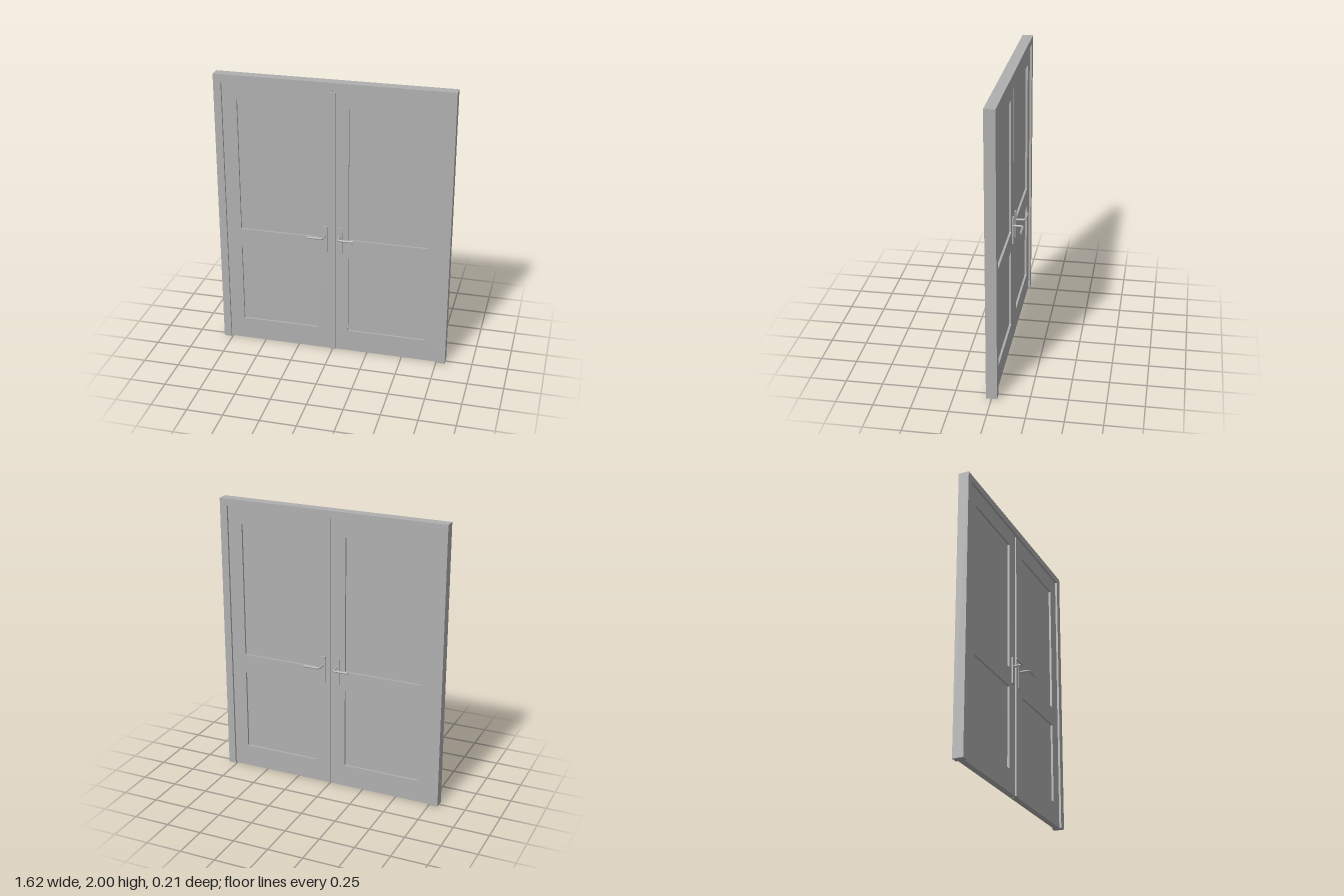
import * as THREE from 'three';

const grey = new THREE.MeshStandardMaterial({ color: 0xb0b0b0 });
grey.name = 'grey';

function add(parent, name, geometry, x = 0, y = 0, z = 0) {
  const mesh = new THREE.Mesh(geometry, grey);
  mesh.name = name;
  mesh.position.set(x, y, z);
  parent.add(mesh);
  return mesh;
}

// Traces a rectangle, with slightly rounded corners when r > 0
function rect(path, x0, y0, x1, y1, r = 0) {
  path.moveTo(x0 + r, y0);
  path.lineTo(x1 - r, y0);
  if (r) path.quadraticCurveTo(x1, y0, x1, y0 + r);
  path.lineTo(x1, y1 - r);
  if (r) path.quadraticCurveTo(x1, y1, x1 - r, y1);
  path.lineTo(x0 + r, y1);
  if (r) path.quadraticCurveTo(x0, y1, x0, y1 - r);
  path.lineTo(x0, y0 + r);
  if (r) path.quadraticCurveTo(x0, y0, x0 + r, y0);
  return path;
}

// Extrudes a shape centred on z = 0
function slab(shape, depth) {
  const g = new THREE.ExtrudeGeometry(shape, { depth, bevelEnabled: false, curveSegments: 4 });
  return g.translate(0, 0, -depth / 2);
}

// Lever: a stem out of the door, a tight bend and a horizontal grip
function leverPath(s, f) {
  const x = s * 0.0525, z = f * 0.095, r = 0.016;
  const path = new THREE.CurvePath();
  const v = (px, pz) => new THREE.Vector3(px, 0.903, pz);
  path.add(new THREE.LineCurve3(v(x, f * 0.025), v(x, z - f * r)));
  path.add(new THREE.QuadraticBezierCurve3(v(x, z - f * r), v(x, z), v(x + s * r, z)));
  path.add(new THREE.LineCurve3(v(x + s * r, z), v(s * 0.163, z)));
  return path;
}

export function createModel() {
  const model = new THREE.Group();
  model.name = 'doubleDoor';

  // Frame: two jambs and a head in one piece
  const outline = new THREE.Shape([
    [-0.8125, 0], [-0.76, 0], [-0.76, 1.95], [0.76, 1.95],
    [0.76, 0], [0.8125, 0], [0.8125, 2], [-0.8125, 2],
  ].map(([x, y]) => new THREE.Vector2(x, y)));
  add(model, 'frame', slab(outline, 0.074));

  const panels = [[0.16, 0.738], [0.876, 1.827]];
  for (const s of [1, -1]) {
    const door = new THREE.Group();
    door.name = s > 0 ? 'leftDoor' : 'rightDoor';
    model.add(door);

    // Leaf with openings for the sunken panels
    const [a, b] = s > 0 ? [0.002, 0.76] : [-0.76, -0.002];
    const [c, d] = s > 0 ? [0.109, 0.659] : [-0.659, -0.109];
    const leaf = rect(new THREE.Shape(), a, 0, b, 1.95);
    for (const [y0, y1] of panels) {
      leaf.holes.push(rect(new THREE.Path(), c, y0, d, y1, 0.006));
      add(door, 'panel', new THREE.BoxGeometry(0.56, y1 - y0 + 0.01, 0.014), s * 0.384, (y0 + y1) / 2);
    }
    add(door, 'leaf', slab(leaf, 0.044));

    // Handles on both faces
    for (const f of [1, -1]) {
      const handle = new THREE.Group();
      handle.name = f > 0 ? 'frontHandle' : 'backHandle';
      door.add(handle);
      add(handle, 'handlePlate', new THREE.BoxGeometry(0.038, 0.191, 0.012), s * 0.053, 0.87, f * 0.025);
      add(handle, 'lever', new THREE.TubeGeometry(leverPath(s, f), 32, 0.0078, 12));
      const cap = add(handle, 'leverEnd', new THREE.CircleGeometry(0.0078, 12), s * 0.163, 0.903, f * 0.095);
      cap.rotation.y = s * Math.PI / 2;
    }
  }

  // Cover strip over the meeting edges, front only
  add(model, 'coverStrip', new THREE.BoxGeometry(0.037, 1.933, 0.012), 0, 0.9665, 0.027);
  return model;
}
